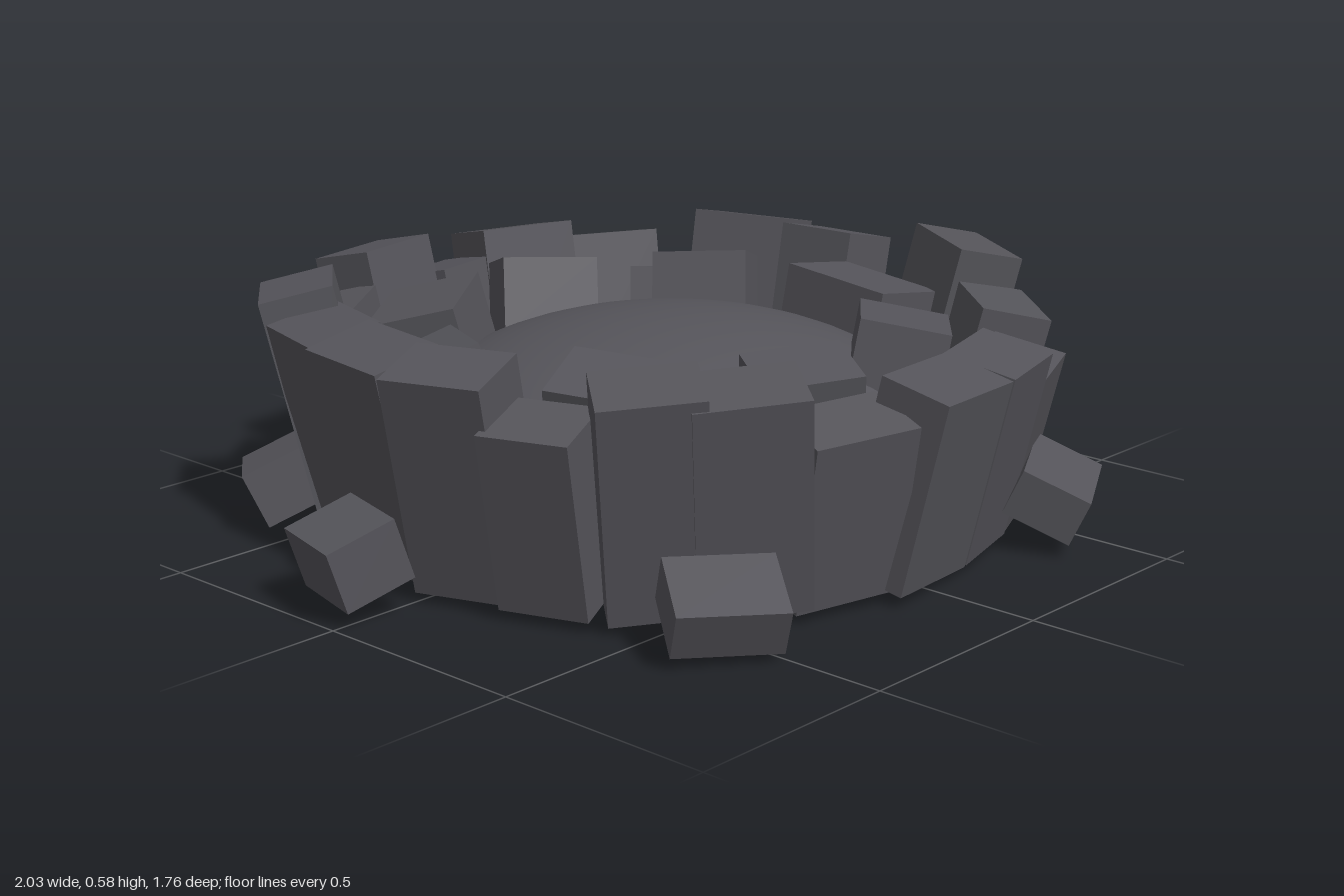
import * as THREE from 'three';

const rad = THREE.MathUtils.degToRad;

export function createModel() {
  const model = new THREE.Group();
  model.name = 'stoneRing';

  const stone = new THREE.MeshStandardMaterial({ color: 0x55545a, side: THREE.DoubleSide });
  stone.name = 'dark stone';

  // Box turned to face outward (+z local), leaning out by tilt, rolled sideways by roll
  function block(name, size, pos, yaw, tilt, roll, hangDown = false) {
    const geo = new THREE.BoxGeometry(...size);
    if (hangDown) geo.translate(0, -size[1] / 2, 0);
    const mesh = new THREE.Mesh(geo, stone);
    mesh.name = name;
    mesh.position.set(...pos);
    mesh.rotation.order = 'YXZ';
    mesh.rotation.set(rad(tilt), Math.atan2(pos[0], pos[2]) + rad(yaw), rad(roll));
    model.add(mesh);
  }

  // Low mound filling the ring
  const mound = new THREE.Mesh(
    new THREE.SphereGeometry(0.69, 48, 16, 0, Math.PI * 2, 0, Math.PI / 2), stone);
  mound.name = 'mound';
  mound.scale.y = 0.37 / 0.69;
  mound.position.y = 0.1;
  model.add(mound);

  // Wall blocks: top centre x, z, top height, width, extra yaw, roll
  const wall = [
    [-0.2, -0.775, 0.54, 0.22, -7, -1], [0.015, -0.76, 0.46, 0.21, 11, 0],
    [0.23, -0.75, 0.52, 0.25, 4, 1], [0.45, -0.67, 0.48, 0.27, 2, -1],
    [0.575, -0.5, 0.40, 0.24, 0, 0], [0.71, -0.37, 0.53, 0.25, -8, 1],
    [0.75, -0.14, 0.52, 0.22, -10, -1], [0.79, 0.08, 0.39, 0.21, -8, 0],
    [0.73, 0.28, 0.56, 0.23, -4, 4], [0.62, 0.46, 0.47, 0.23, 0, 4],
    [0.43, 0.645, 0.41, 0.23, -10, 0], [0.23, 0.73, 0.47, 0.22, -3, 1],
    [0, 0.77, 0.47, 0.25, 5, -1], [-0.24, 0.70, 0.42, 0.25, 3, 2],
    [-0.46, 0.62, 0.52, 0.24, 0, 4], [-0.61, 0.50, 0.53, 0.22, 11, 4],
    [-0.71, 0.30, 0.44, 0.2, -3, 0], [-0.775, 0.11, 0.53, 0.23, 10, 1],
    [-0.755, -0.14, 0.52, 0.25, 4, -1], [-0.70, -0.36, 0.52, 0.23, 12, 0],
    [-0.615, -0.55, 0.56, 0.22, 2, 1], [-0.42, -0.67, 0.46, 0.24, 3, -1],
  ];
  const lean = 13;
  for (const [x, z, top, width, yaw, roll] of wall) {
    const length = (top - 0.045) / Math.cos(rad(lean));
    block('wallBlock', [width, length, 0.165], [x, top, z], yaw, lean, roll, true);
  }

  // Loose stones lying on the mound: x, y, z, width, depth, yaw, tilt
  const inner = [
    [-0.28, 0.39, -0.48, 0.28, 0.21, 4, 14], [0.14, 0.39, -0.55, 0.23, 0.17, -15, 18],
    [0.46, 0.39, -0.31, 0.23, 0.15, -5, 18], [0.53, 0.39, 0.11, 0.3, 0.2, 8, 8],
    [0.27, 0.4, 0.43, 0.25, 0.2, 6, 10], [-0.13, 0.39, 0.49, 0.22, 0.17, -16, 12],
    [-0.45, 0.39, 0.26, 0.24, 0.18, -8, 16], [-0.53, 0.39, -0.15, 0.22, 0.14, -10, 20],
  ];
  inner.forEach(([x, y, z, w, d, yaw, tilt], i) =>
    block('innerRubble', [w, 0.18, d], [x, y, z], yaw, tilt, i % 2 ? 4 : -4));

  // Loose stones against the outside: x, y, z, size, yaw, tilt, roll
  const outer = [
    [0.9, 0.115, 0.07, 0.2, 0.1, 0.17, -17, 42, -14],
    [0.43, 0.125, 0.745, 0.24, 0.11, 0.16, 0, 24, 4],
    [-0.57, 0.11, 0.665, 0.23, 0.11, 0.17, 4, 24, -2],
    [-0.9, 0.13, -0.06, 0.2, 0.14, 0.16, -11, 18, 0],
    [-0.615, 0.11, -0.6, 0.2, 0.13, 0.17, 8, 25, 5],
    [0.53, 0.115, -0.68, 0.19, 0.13, 0.16, -6, 25, -5],
  ];
  outer.forEach(([x, y, z, w, h, d, yaw, tilt, roll]) =>
    block('outerRubble', [w, h, d], [x, y, z], yaw, tilt, roll));

  return model;
}
